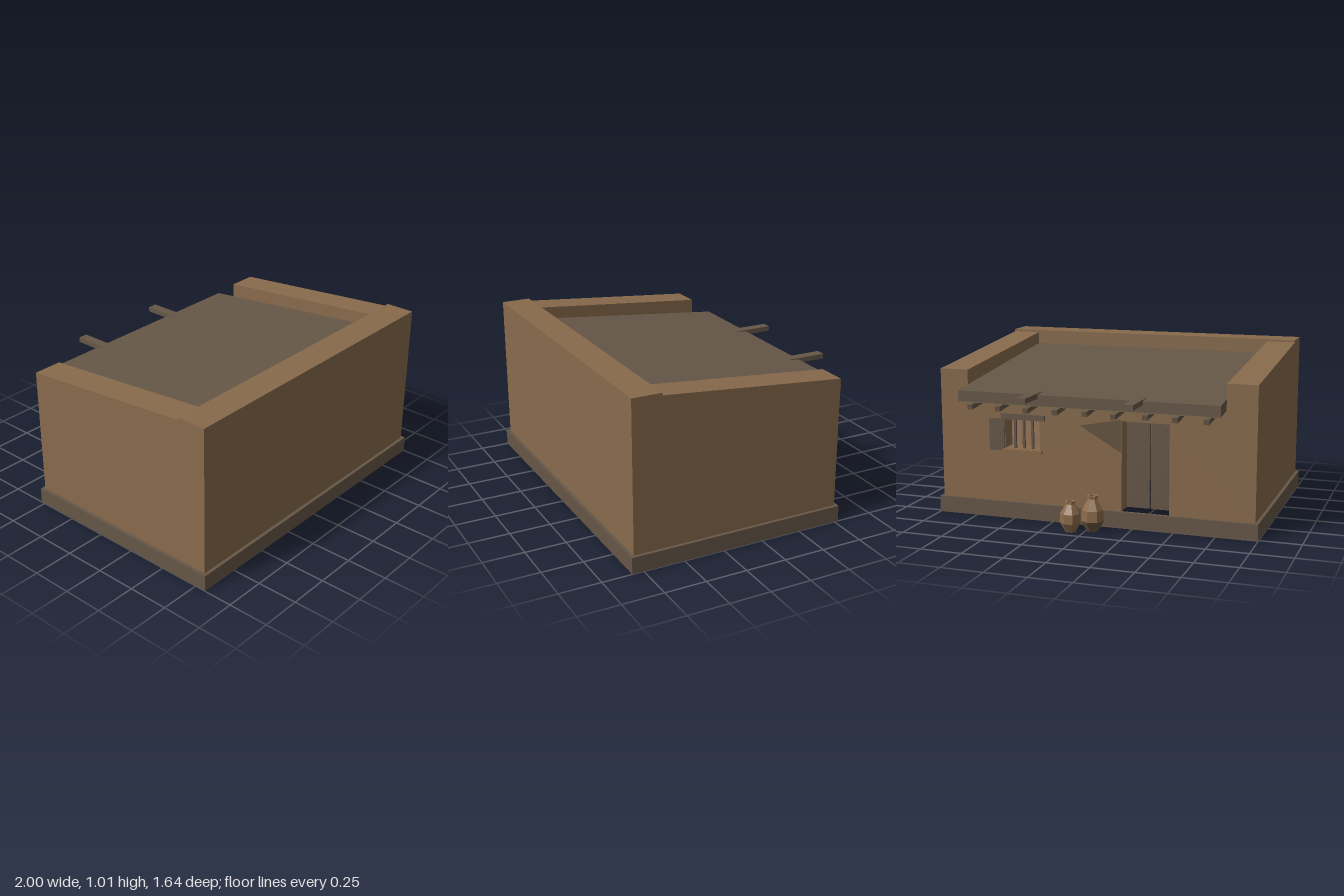
import * as THREE from 'three';

const mat = (name, color, side = THREE.FrontSide) => {
  const m = new THREE.MeshStandardMaterial({ color, side });
  m.name = name;
  return m;
};

export function createModel() {
  const house = new THREE.Group();
  house.name = 'mudBrickHouse';
  const mud = mat('mudBrick', 0x886a4c, THREE.DoubleSide);
  const stone = mat('plinthStone', 0x665747, THREE.DoubleSide);
  const timber = mat('greyTimber', 0x665747);
  const stain = mat('darkMud', 0x665340, THREE.DoubleSide);
  const thatch = mat('ceilingReed', 0x766c52);
  const clay = mat('clay', 0x8c6a49);
  const tan = mat('paleTimber', 0x98775a);

  const add = (name, geo, material, parent = house) => {
    const m = new THREE.Mesh(geo, material);
    m.name = name;
    parent.add(m);
    return m;
  };
  const group = (name) => {
    const g = new THREE.Group();
    g.name = name;
    house.add(g);
    return g;
  };
  // box given by its limits on each axis
  const box = (name, [x0, x1], [y0, y1], [z0, z1], material, parent) => {
    const m = add(name, new THREE.BoxGeometry(x1 - x0, y1 - y0, z1 - z0), material, parent);
    m.position.set((x0 + x1) / 2, (y0 + y1) / 2, (z0 + z1) / 2);
    return m;
  };
  // flat face with three or four corners
  const face = (name, pts, parent, material = mud) => {
    const g = new THREE.BufferGeometry();
    g.setAttribute('position', new THREE.Float32BufferAttribute(pts.flat(), 3));
    g.setIndex(pts.length === 3 ? [0, 1, 2] : [0, 1, 2, 0, 2, 3]);
    const flat = g.toNonIndexed();
    flat.computeVertexNormals();
    return add(name, flat, material, parent);
  };
  const rect = (x0, x1, y0, y1, Type = THREE.Shape) =>
    new Type([[x0, y0], [x1, y0], [x1, y1], [x0, y1]].map(([x, y]) => new THREE.Vector2(x, y)));

  const X = 0.98, IX = 0.8, F = 0.8, IF = 0.62, B = -0.505, Y0 = 0.1;
  const TOP = 1.01, SIDE_F = 0.995, SIDE_B = 0.895;

  // Plinth: a skirt open underneath, with a narrow ledge at the foot of the walls
  const plinth = group('plinth');
  const outer = [[-1, 0.82], [1, 0.82], [1, -0.525], [-1, -0.525]];
  const inner = [[-X, F], [X, F], [X, B], [-X, B]];
  outer.forEach(([x, z], i) => {
    const j = (i + 1) % 4;
    const [nx, nz] = outer[j], [ix, iz] = inner[i], [jx, jz] = inner[j];
    face('plinthSide', [[x, 0, z], [nx, 0, nz], [nx, Y0, nz], [x, Y0, z]], plinth, stone);
    face('plinthLedge', [[x, Y0, z], [nx, Y0, nz], [jx, Y0, jz], [ix, Y0, iz]], plinth, stone);
  });

  // Front wall with its thick parapet
  const walls = group('walls');
  face('frontWall', [[-X, Y0, F], [X, Y0, F], [X, TOP, F], [-X, TOP, F]], walls);
  face('frontParapetTop', [[-X, TOP, F], [X, TOP, F], [X, TOP, IF], [-X, TOP, IF]], walls);
  face('frontParapetStep', [[X, SIDE_F, IF], [-X, SIDE_F, IF], [-X, TOP, IF], [X, TOP, IF]], walls);
  face('frontParapetInside', [[IX, 0.88, IF], [-IX, 0.88, IF], [-IX, SIDE_F, IF], [IX, SIDE_F, IF]], walls);

  // Side walls, mirrored, with sloping parapets
  for (const s of [1, -1]) {
    const sided = (name, pts) => face(name, s > 0 ? pts : pts.reverse(), walls);
    const x = s * X, ix = s * IX;
    sided('sideWall', [[x, Y0, IF], [x, Y0, B], [x, SIDE_B, B], [x, SIDE_F, IF]]);
    sided('sideWallEnd', [[x, Y0, F], [x, Y0, IF], [x, TOP, IF], [x, TOP, F]]);
    sided('sideParapetTop', [[x, SIDE_F, IF], [x, SIDE_B, B], [ix, SIDE_B, B], [ix, SIDE_F, IF]]);
    sided('sideParapetInside', [[ix, 0.77, B], [ix, 0.88, IF], [ix, SIDE_F, IF], [ix, SIDE_B, B]]);
  }

  // Back wall with door and window openings
  const door = { x0: -0.47, x1: -0.18, y0: 0.101, y1: 0.64 };
  const win = { x0: 0.335, x1: 0.56, y0: 0.43, y1: 0.62 };
  const backShape = new THREE.Shape([
    [X, Y0], [X, SIDE_B], [IX, SIDE_B], [IX, 0.77], [-IX, 0.77], [-IX, SIDE_B], [-X, SIDE_B], [-X, Y0],
  ].map(([x, y]) => new THREE.Vector2(-x, y)));
  for (const o of [door, win]) backShape.holes.push(rect(-o.x1, -o.x0, o.y0, o.y1, THREE.Path));
  add('backWall', new THREE.ShapeGeometry(backShape).rotateY(Math.PI), mud, walls).position.z = B;

  // Dark weathered patch beside the door head
  const P = B - 0.002;
  face('wallStain', [[-0.18, 0.65, P], [0.08, 0.6, P], [-0.18, 0.45, P]].reverse(), walls, stain);

  // Reveals around the openings
  const D = B + 0.11;
  const reveal = (name, o, sill) => {
    face(name, [[o.x0, o.y0, B], [o.x0, o.y1, B], [o.x0, o.y1, D], [o.x0, o.y0, D]], walls);
    face(name, [[o.x1, o.y0, D], [o.x1, o.y1, D], [o.x1, o.y1, B], [o.x1, o.y0, B]], walls);
    face(name, [[o.x0, o.y1, B], [o.x1, o.y1, B], [o.x1, o.y1, D], [o.x0, o.y1, D]], walls);
    if (sill) face(name, [[o.x0, o.y0, D], [o.x1, o.y0, D], [o.x1, o.y0, B], [o.x0, o.y0, B]], walls);
  };
  reveal('doorReveal', door, false);
  reveal('windowReveal', win, true);

  // Door of two leaves
  const doorGroup = group('door');
  const mid = (door.x0 + door.x1) / 2;
  box('doorLeaf', [door.x0, mid - 0.004], [door.y0, door.y1], [D - 0.01, D + 0.01], timber, doorGroup);
  box('doorLeaf', [mid + 0.004, door.x1], [door.y0, door.y1], [D - 0.01, D + 0.01], timber, doorGroup);

  // Window: lintel, sill, pale backing, bars and an open shutter
  const windowGroup = group('window');
  box('windowLintel', [0.3, 0.58], [0.61, 0.645], [-0.52, -0.49], timber, windowGroup);
  box('windowSill', [0.32, 0.575], [0.41, 0.428], [-0.525, -0.49], clay, windowGroup);
  box('windowBacking', [win.x0, win.x1], [win.y0, win.y1], [D - 0.008, D], tan, windowGroup);
  for (let i = 1; i <= 3; i++) {
    const x = win.x0 + (win.x1 - win.x0) * i / 4;
    box('windowBar', [x - 0.007, x + 0.007], [win.y0, win.y1], [-0.487, -0.473], timber, windowGroup);
  }
  box('shutter', [0.562, 0.66], [0.415, 0.61], [-0.514, -0.506], timber, windowGroup);

  // Sloping roof slab with an overhanging eave, lined with reed below
  const slab = (name, bottomB, bottomF, topB, topF, material, z0, w) => {
    const s = new THREE.Shape([[z0, bottomB], [IF, bottomF], [IF, topF], [z0, topB]]
      .map(([z, y]) => new THREE.Vector2(z, y)));
    add(name, new THREE.ExtrudeGeometry(s, { depth: 2 * w, bevelEnabled: false })
      .rotateY(-Math.PI / 2).translate(w, 0, 0), material);
  };
  slab('roof', 0.727, 0.855, 0.792, 0.92, timber, -0.64, IX);
  slab('ceilingLining', 0.723, 0.851, 0.729, 0.857, thatch, -0.638, IX - 0.003);

  // Two long beams and a row of rafters under the eave
  const beams = group('beams');
  for (const s of [1, -1]) {
    box('longBeam', [s * 0.32 - 0.03, s * 0.32 + 0.03], [0.77, 0.801], [-0.82, -0.45], timber, beams);
  }
  const ends = [0.665, 0.668, 0.655, 0.685, 0.66, 0.668, 0.675, 0.665, 0.66];
  ends.forEach((end, i) => {
    const x = -0.725 + i * 0.18;
    const r = box('rafter', [x - 0.016, x + 0.016], [0.692, 0.722], [-end, -0.49], timber, beams);
    r.rotation.x = -0.09;
  });

  // Faceted clay jars by the door
  const jars = group('jars');
  const lower = [[0, 0], [0.032, 0], [0.064, 0.065]];
  const upper = [[0.064, 0.065], [0.06, 0.13], [0.026, 0.193], [0.024, 0.202],
    [0.032, 0.206], [0.032, 0.215], [0.018, 0.215], [0.018, 0.19], [0, 0.19]];
  const jar = (x, z, h, r, turn, footMaterial) => {
    for (const [name, profile, material] of [['jarFoot', lower, footMaterial], ['jarBody', upper, clay]]) {
      const pts = profile.map(([a, b]) => new THREE.Vector2(a * r, b * h));
      const g = new THREE.LatheGeometry(pts, 7).toNonIndexed();
      g.computeVertexNormals();
      const m = add(name, g, material, jars);
      m.position.set(x, 0, z);
      m.rotation.y = turn;
    }
  };
  jar(-0.04, -0.622, 1, 1.07, 0.3, stain);
  jar(0.08, -0.67, 0.86, 1, 1, clay);

  return house;
}
